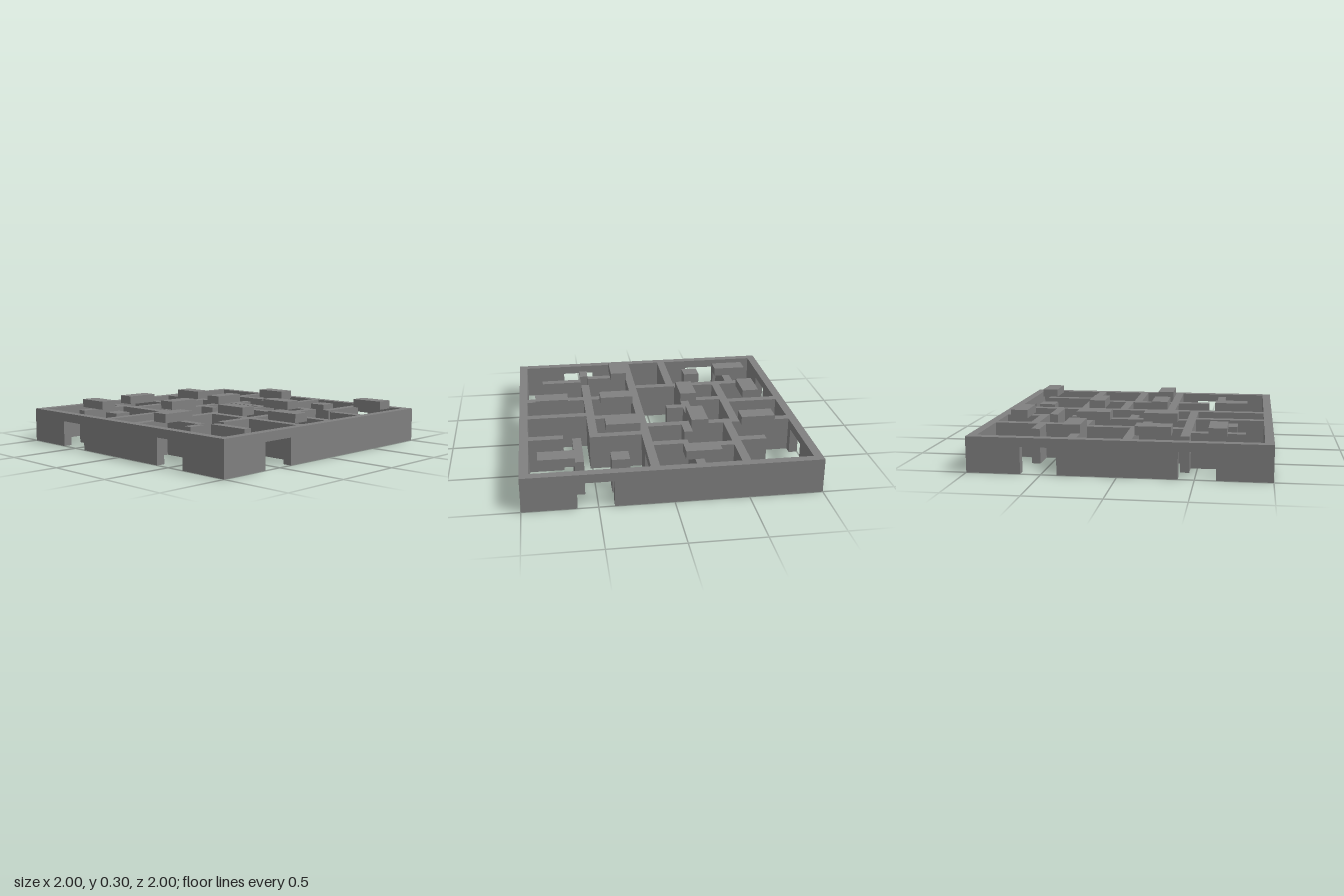
import * as THREE from 'three';

const N = 33;            // grid cells along each side
const C = 2 / N;         // size of one cell
const WALL = 4, DOOR = 3; // heights in cells

export function createModel() {
  const model = new THREE.Group();
  model.name = 'floorPlan';
  const grey = new THREE.MeshStandardMaterial({ color: 0x808080 });
  grey.name = 'grey';

  // Box between cell lines: x0..x1, z0..z1 on the plan, y0..y1 upward
  function box(name, x0, x1, z0, z1, y0 = 0, y1 = WALL) {
    const mesh = new THREE.Mesh(
      new THREE.BoxGeometry((x1 - x0) * C, (y1 - y0) * C, (z1 - z0) * C), grey);
    mesh.position.set(((x0 + x1) / 2) * C - 1, ((y0 + y1) / 2) * C, ((z0 + z1) / 2) * C - 1);
    mesh.name = name;
    model.add(mesh);
  }

  // One-cell-thick wall along x or z, with doorways four cells wide
  function wall(name, axis, line, from, to, doors = []) {
    const piece = (label, a, b, y0) => (axis === 'x'
      ? box(label, a, b, line, line + 1, y0)
      : box(label, line, line + 1, a, b, y0));
    let start = from;
    for (const d of doors) {
      piece(name, start, d, 0);
      piece(name + 'Lintel', d, d + 4, DOOR);
      start = d + 4;
    }
    piece(name, start, to, 0);
  }

  // Outer walls
  wall('frontWall', 'x', N - 1, 0, N, [6, 23]);
  wall('backWall', 'x', 0, 0, N, [23]);
  wall('rightSideWall', 'z', 0, 1, N - 1, [6, 23]);
  wall('leftSideWall', 'z', N - 1, 1, N - 1, [23]);

  // Main partition from back to front
  wall('mainPartition', 'z', 18, 1, N - 1, [2]);

  // Partitions running along z: [x line, from z, to z]
  for (const [x, a, b] of [
    [8, 1, 11], [13, 1, 6], [13, 9, 11], [7, 12, 23], [12, 12, 23],
    [5, 24, 30], [13, 24, 32], [26, 3, 9], [24, 9, 25], [24, 28, 30],
  ]) wall('partition', 'z', x, a, b);

  // Partitions running along x: [z line, from x, to x]
  for (const [z, a, b] of [
    [5, 9, 13], [6, 5, 8], [6, 14, 18], [11, 1, 18], [17, 1, 7], [16, 13, 15],
    [18, 8, 12], [23, 3, 18], [9, 19, 24], [9, 28, 32], [14, 19, 24],
    [15, 25, 32], [20, 19, 24], [20, 25, 32], [26, 25, 30], [27, 19, 24],
  ]) wall('crossPartition', 'x', z, a, b);

  // Free-standing square columns
  box('column', 21, 23, 3, 5);
  box('column', 9, 11, 27, 29);

  // Raised slabs resting at wall height
  for (const [x0, x1, z0, z1] of [
    [11, 15, 2, 4], [27, 31, 2, 4],
    [3, 7, 10, 12], [11, 13, 10, 14], [19, 23, 10, 12],
    [3, 5, 18, 22], [11, 13, 18, 22], [19, 23, 18, 20], [27, 31, 18, 20],
    [3, 7, 26, 28], [19, 21, 26, 30],
  ]) box('raisedSlab', x0, x1, z0, z1, WALL, WALL + 1);

  return model;
}
